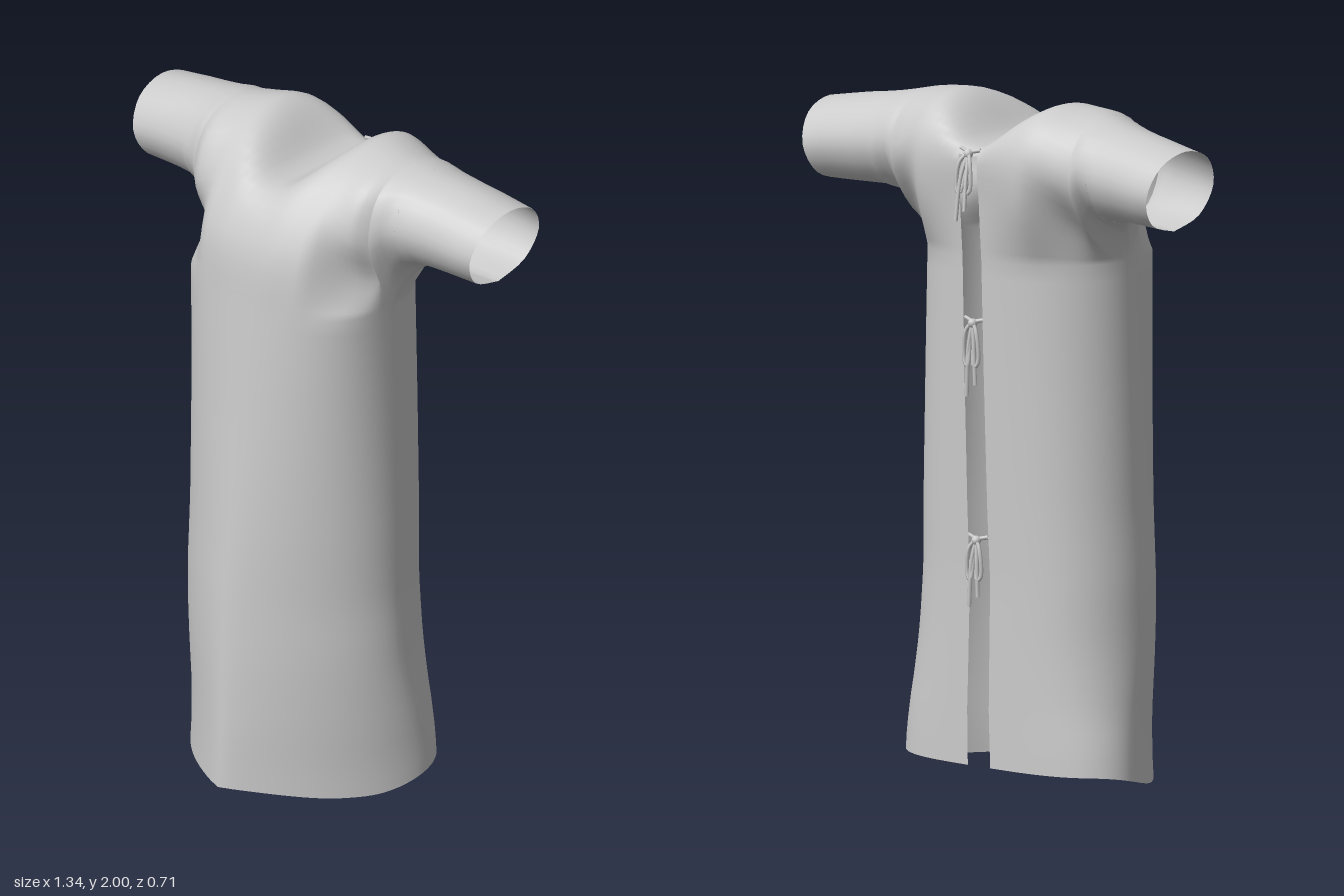
import * as THREE from 'three';
import { mergeGeometries, mergeVertices } from 'three/addons/utils/BufferGeometryUtils.js';

const { lerp, smoothstep } = THREE.MathUtils;
const CX = -0.012, CHEST_Y = 1.54, CHEST_W = 0.335, SLIT = 0.105, SLIT_SHIFT = 0.02;

// Linear lookup in a list of [key, value...] rows
function look(table, k, col = 1) {
  for (let i = 1; i < table.length; i++) {
    const a = table[i - 1], b = table[i];
    if (k <= b[0]) return lerp(a[col], b[col], Math.max(0, (k - a[0]) / (b[0] - a[0])));
  }
  return table[table.length - 1][col];
}

// Surface through a grid of points
function sheet(rows) {
  const n = rows[0].length, pos = [], idx = [];
  rows.forEach(r => r.forEach(p => pos.push(p.x, p.y, p.z)));
  for (let r = 0; r < rows.length - 1; r++) {
    for (let c = 0; c < n - 1; c++) {
      const a = r * n + c, b = a + 1, d = a + n, e = d + 1;
      idx.push(a, b, e, a, e, d);
    }
  }
  const g = new THREE.BufferGeometry();
  g.setAttribute('position', new THREE.Float32BufferAttribute(pos, 3));
  g.setIndex(idx);
  return g;
}

// Skirt sizes: height, half width, front z, back z, centre x
const SKIRT = [
  [0, 0.4, 0.36, -0.26, -0.02], [0.2, 0.386, 0.354, -0.26, -0.016], [0.4, 0.372, 0.345, -0.26, -0.02],
  [0.6, 0.363, 0.333, -0.26, -0.024], [0.8, 0.356, 0.318, -0.265, -0.018], [1.2, 0.344, 0.287, -0.275, -0.014],
  [CHEST_Y, CHEST_W, 0.265, -0.283, CX],
];

// Point on the skirt: s runs from side to side, ridged at the hem and round at the chest
function skirtPoint(s, y, front) {
  const k = y / CHEST_Y, side = lerp(-0.08, -0.01, smoothstep(y, 0, 0.5)), q = Math.abs(s);
  const edge = look(SKIRT, y, front ? 2 : 3);
  const p = front ? lerp(1.17, 2.2, k * k) : lerp(3.4, 2.1, k);
  const f = Math.pow(Math.max(0, 1 - Math.pow(q, p)), front ? lerp(0.55, 0.38, k * k) : 0.5);
  const z = side + (edge - side) * f;
  const hem = 0.018 * smoothstep(z, 0.15, 0.36) + 0.05 * smoothstep(-z, -0.1, 0.2);
  const x = look(SKIRT, y, 4) + s * look(SKIRT, y) + (front ? 0 : SLIT_SHIFT * (1 - s * s));
  return new THREE.Vector3(x, y + hem * (1 - smoothstep(y, 0, 0.3)), z);
}

// Yoke and sleeves: distance from centre, front z, back z, top y
const YOKE = [
  [0, 0.26, -0.295, 2], [0.1, 0.257, -0.305, 2], [0.2, 0.227, -0.307, 2], [0.3, 0.15, -0.295, 1.987],
  [0.335, 0.11, -0.285, 1.98], [0.38, 0.07, -0.276, 1.97], [0.45, 0.04, -0.27, 1.955], [0.55, 0.03, -0.275, 1.94],
  [0.67, 0.02, -0.28, 1.918],
];
const UNDERARM = [[0, CHEST_Y], [CHEST_W, CHEST_Y], [0.36, 1.62], [0.39, 1.66], [0.43, 1.682], [0.67, 1.678]];
// Shoulder arch, armpit loop and sleeve ring, as fractions of depth and height
const ARCH = [[0, 0], [0.02, 0.36], [0.14, 0.66], [0.34, 0.9], [0.62, 1], [0.87, 0.93], [1, 0.7], [0.99, 0.36], [0.96, 0]];
const ARMPIT = [[0.3, 0], [0.17, 0.22], [0.04, 0.54], [0.15, 0.86], [0.5, 1], [0.85, 0.89], [0.97, 0.58], [0.72, 0.22], [0.3, 0]];
const RING = [[0.5, 0], [0.15, 0.14], [0, 0.5], [0.15, 0.86], [0.5, 1], [0.85, 0.86], [1, 0.5], [0.85, 0.14], [0.5, 0]];
const STEPS = 32, SLIT_STEP = 24;

// Smaller of two values with a rounded changeover
function softMin(a, b, r) {
  const h = Math.max(r - Math.abs(a - b), 0);
  return Math.min(a, b) - h * h / (4 * r);
}

// Points of one slice, from the front over the shoulder to the back
function slice(a) {
  const d = Math.abs(a), zf = look(YOKE, d, 1), zb = look(YOKE, d, 2), top = look(YOKE, d, 3);
  const yb = look(UNDERARM, d), k = smoothstep(d, 0.18, CHEST_W), m = smoothstep(d, CHEST_W, 0.43);
  const mix = (i, c) => lerp(lerp(ARCH[i][c], ARMPIT[i][c], k), RING[i][c], m);
  const pts = ARCH.map((_, i) => new THREE.Vector2(lerp(zf, zb, mix(i, 0)), lerp(yb, top, mix(i, 1))));
  const s = THREE.MathUtils.clamp(a / CHEST_W, -1, 1);
  if (d <= CHEST_W + 1e-6) {
    pts[0].x = skirtPoint(s, CHEST_Y, true).z;
    pts[8].x = skirtPoint(s, CHEST_Y, false).z;
  }
  const curve = new THREE.SplineCurve(pts), out = [];
  const shift = CX * (1 - smoothstep(d, CHEST_W, 0.6));
  // Neckline dips between the shoulders
  const neck = 1.866 + 0.27 * smoothstep(d, 0, 0.3);
  for (let j = 0; j <= STEPS; j++) {
    const p = curve.getPoint(j / STEPS);
    const slant = 0.045 * (top - p.y) / (top - yb) * smoothstep(d, 0.45, 0.67);
    const x = a + shift - Math.sign(a) * slant + SLIT_SHIFT * (1 - s * s) * smoothstep(j / STEPS, 0.5, 0.75);
    out.push(new THREE.Vector3(x, softMin(p.y, neck, 0.08), p.x));
  }
  return out;
}

function gownGeometry() {
  // Stations across one half, closer together toward the side
  const half = [], t0 = Math.asin(SLIT);
  for (let i = 0; i <= 20; i++) half.push(i === 20 ? 1 : Math.sin(lerp(t0, Math.PI / 2, i / 20)));
  const mirrored = half.map(s => -s).reverse();

  // Skirt wraps from one edge of the back slit around the front to the other
  const rows = [];
  for (let i = 0; i <= 30; i++) {
    const y = CHEST_Y * i / 30;
    rows.push([
      ...half.map(s => skirtPoint(-s, y, false)),
      ...[...mirrored.slice(1), 0, ...half].map(s => skirtPoint(s, y, true)),
      ...mirrored.slice(1).map(s => skirtPoint(-s, y, false)),
    ]);
  }

  // Yoke with sleeves, both halves plus the strip above the slit
  const sleeve = [0.347, 0.36, 0.375, 0.39, 0.41, 0.43, 0.49, 0.55, 0.61, 0.67];
  const left = [...half.map(s => s * CHEST_W), ...sleeve];
  const right = left.map(a => -a).reverse();
  const span = (list, last) => {
    const slices = list.map(slice), grid = [];
    for (let j = 0; j <= last; j++) grid.push(slices.map(c => c[j]));
    return sheet(grid);
  };
  const e = SLIT * CHEST_W;
  const parts = [sheet(rows), span(left, STEPS), span(right, STEPS), span([-e, 0, e], SLIT_STEP)];
  const g = mergeVertices(mergeGeometries(parts), 1e-4);
  g.computeVertexNormals();
  return g;
}

// Cloth that closes the inside of a sleeve, sagging toward the body
function liningGeometry(side) {
  const ring = slice(side * 0.4), grid = [];
  const centre = new THREE.Vector3(side * 0.34, 1.82, -0.11);
  for (let i = 0; i <= 5; i++) grid.push(ring.map(p => p.clone().lerp(centre, i / 5)));
  const g = mergeVertices(sheet(grid), 1e-4);
  g.computeVertexNormals();
  return g;
}

// Knotted cord across the slit with two bows and hanging ends
function makeTie(y, z, length, lean, mat) {
  const tie = new THREE.Group();
  tie.name = 'backTie';
  const cord = (name, pts, r = 0.006) => {
    const curve = new THREE.CatmullRomCurve3(pts.map(p => new THREE.Vector3(...p)));
    const m = new THREE.Mesh(new THREE.TubeGeometry(curve, 20, r, 6), mat);
    m.name = name;
    tie.add(m);
  };
  cord('crossCord', [[-0.03, 0.005, 0.008], [0, 0, -0.005], [0.042, 0.005, 0.008]]);
  const knot = new THREE.Mesh(new THREE.SphereGeometry(0.014, 10, 8), mat);
  knot.name = 'knot';
  knot.position.set(0, -0.005, -0.01);
  tie.add(knot);
  for (const s of [-1, 1]) {
    cord('bow', [[0, 0, -0.01], [s * 0.02, -0.03, -0.015 - lean * 0.3], [s * 0.024, -length * 0.55, -0.01 - lean * 0.6],
      [s * 0.012, -length * 0.6, -0.013 - lean * 0.6], [s * 0.006, -0.04, -0.012], [0, 0, -0.01]]);
    cord('hangingEnd', [[0, 0, -0.01], [s * 0.01, -length * 0.35, -0.012 - lean * 0.5],
      [s * 0.016, -length * (0.92 + s * 0.08), -0.008 - lean]]);
  }
  tie.position.set(0, y, z);
  return tie;
}

export function createModel() {
  const group = new THREE.Group();
  group.name = 'openBackGown';
  const mat = new THREE.MeshStandardMaterial({ color: 0xcccccc, side: THREE.DoubleSide });
  const add = (name, geometry) => {
    const m = new THREE.Mesh(geometry, mat);
    m.name = name;
    group.add(m);
  };
  add('gown', gownGeometry());
  add('leftSleeveLining', liningGeometry(1));
  add('rightSleeveLining', liningGeometry(-1));
  // Three ties down the back
  for (const [y, z, length, lean] of [[1.86, -0.297, 0.2, 0.04], [1.36, -0.278, 0.22, 0.01], [0.72, -0.262, 0.2, 0.015]]) {
    group.add(makeTie(y, z, length, lean, mat));
  }
  return group;
}
